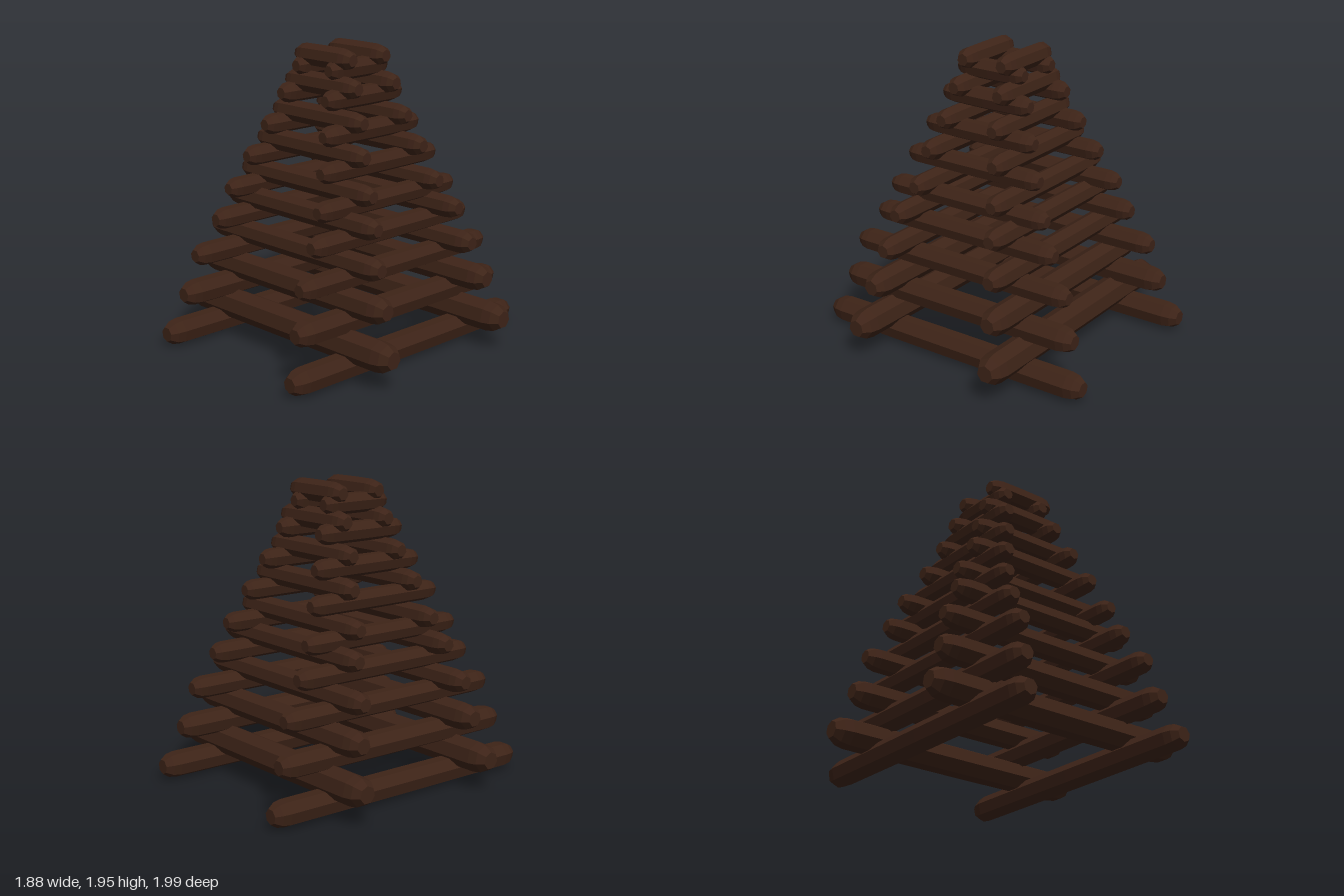
import * as THREE from 'three';

const bark = new THREE.MeshStandardMaterial({ color: 0x3d2317, flatShading: true });

// Log rows from bottom to top: [end min, end max, height, radius, side offset -, side offset +]
const logsAlongZ = [
  [-0.995, 0.99, 0.09, 0.085, -0.615, 0.57],
  [-0.89, 0.89, 0.35, 0.083, -0.555, 0.508],
  [-0.82, 0.82, 0.607, 0.073, -0.515, 0.472],
  [-0.685, 0.68, 0.83, 0.07, -0.47, 0.425],
  [-0.6, 0.595, 1.025, 0.066, -0.44, 0.39],
  [-0.5, 0.5, 1.237, 0.066, -0.365, 0.32],
  [-0.41, 0.41, 1.44, 0.066, -0.29, 0.248],
  [-0.325, 0.325, 1.643, 0.066, -0.225, 0.178],
  [-0.245, 0.245, 1.815, 0.065, -0.17, 0.126],
];
const logsAlongX = [
  [-0.945, 0.94, 0.22, 0.098, -0.53, 0.49],
  [-0.845, 0.84, 0.48, 0.088, -0.475, 0.44],
  [-0.795, 0.755, 0.71, 0.075, -0.42, 0.405],
  [-0.68, 0.68, 0.938, 0.071, -0.37, 0.36],
  [-0.615, 0.57, 1.11, 0.069, -0.305, 0.29],
  [-0.49, 0.48, 1.33, 0.069, -0.25, 0.26],
  [-0.405, 0.4, 1.522, 0.067, -0.19, 0.2],
  [-0.32, 0.315, 1.72, 0.068, -0.17, 0.165],
  [-0.25, 0.245, 1.89, 0.068, -0.147, 0.145],
];

// Seven-sided log along y with blunt chamfered ends
function logGeometry(min, max, radius) {
  const r = radius * 1.05;
  const end = [[0, 0], [0.55, 0], [0.87, 0.5], [0.98, 1.1]];
  const low = end.map(([k, d]) => new THREE.Vector2(k * r, min + d * r));
  const high = end.map(([k, d]) => new THREE.Vector2(k * r, max - d * r)).reverse();
  const middle = new THREE.Vector2(r, (min + max) / 2);
  return new THREE.LatheGeometry([...low, middle, ...high], 7);
}

export function createModel() {
  const group = new THREE.Group();
  group.name = 'logStack';

  // Side logs, running front to back, a corner of the section pointing down
  logsAlongZ.forEach(([min, max, y, r, a, b], i) => {
    const geometry = logGeometry(min, max, r).rotateX(Math.PI / 2);
    [a, b].forEach((x, side) => {
      const log = new THREE.Mesh(geometry, bark);
      log.name = `${side ? 'left' : 'right'}Log${i + 1}`;
      log.position.set(x, y + 0.05 * r, 0);
      group.add(log);
    });
  });

  // Cross logs, running left to right, a corner of the section pointing up
  logsAlongX.forEach(([min, max, y, r, a, b], i) => {
    const geometry = logGeometry(-max, -min, r).rotateY(Math.PI / 2).rotateZ(Math.PI / 2);
    [a, b].forEach((z, side) => {
      const log = new THREE.Mesh(geometry, bark);
      log.name = `${side ? 'front' : 'back'}Log${i + 1}`;
      log.position.set(0, y - 0.05 * r, z);
      group.add(log);
    });
  });

  return group;
}
